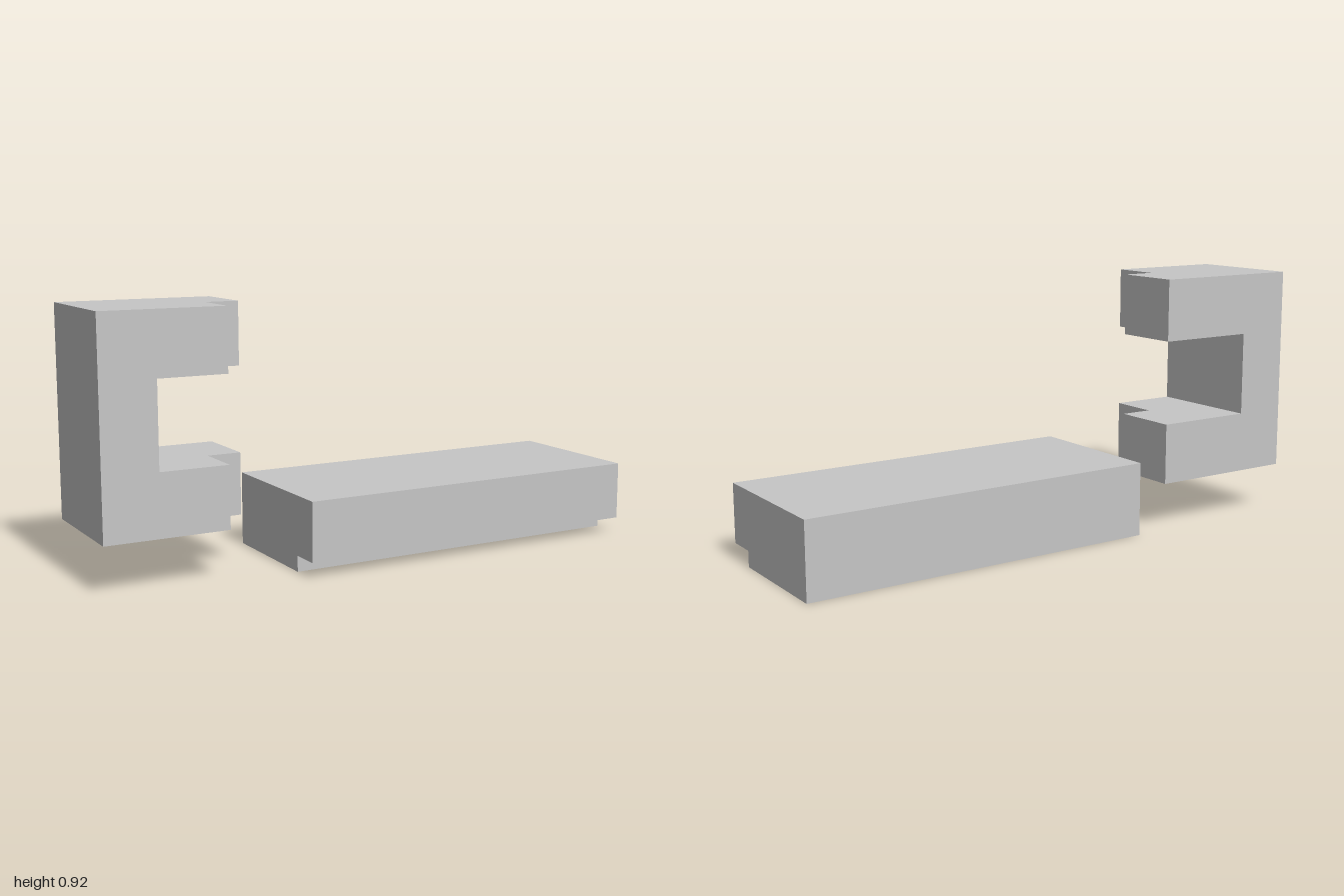
import * as THREE from 'three';

const grey = new THREE.MeshStandardMaterial({ color: 0xc6c6c6 });
grey.name = 'lightGrey';

// Straight extrusion of a closed outline along +z
function prism(points, depth) {
  const shape = new THREE.Shape(points.map(([x, y]) => new THREE.Vector2(x, y)));
  return new THREE.ExtrudeGeometry(shape, { depth, bevelEnabled: false });
}

function addPart(group, name, geometry) {
  const mesh = new THREE.Mesh(geometry, grey);
  mesh.name = name;
  group.add(mesh);
}

export function createModel() {
  const model = new THREE.Group();
  model.name = 'bracketAndBeam';

  // C-shaped bracket: an upright spine with two arms
  const bracket = new THREE.Group();
  bracket.name = 'bracket';
  model.add(bracket);

  const bottom = 0.174, top = 0.92, back = -0.278, front = 0.15;
  const spine = new THREE.BoxGeometry(0.195, top - bottom, front - back);
  spine.translate(-0.9025, (top + bottom) / 2, (front + back) / 2);
  addPart(bracket, 'spine', spine);

  // Arm plan in x, z with the front corner notched out
  const armPlan = [
    [-0.805, back], [-0.436, back], [-0.436, -0.032],
    [-0.558, -0.032], [-0.558, front], [-0.805, front],
  ];
  for (const [name, low, high] of [['lowerArm', bottom, 0.395], ['upperArm', 0.698, top]]) {
    addPart(bracket, name, prism(armPlan, high - low).rotateX(Math.PI / 2).translate(0, high, 0));
  }

  // Long beam with a step under its front edge; outline in -z, y
  const beamSection = [
    [-0.278, 0.057], [-0.168, 0.057], [-0.168, 0],
    [0.278, 0], [0.278, 0.268], [-0.278, 0.268],
  ];
  addPart(model, 'beam', prism(beamSection, 1.318).rotateY(Math.PI / 2).translate(-0.318, 0, 0));

  return model;
}
